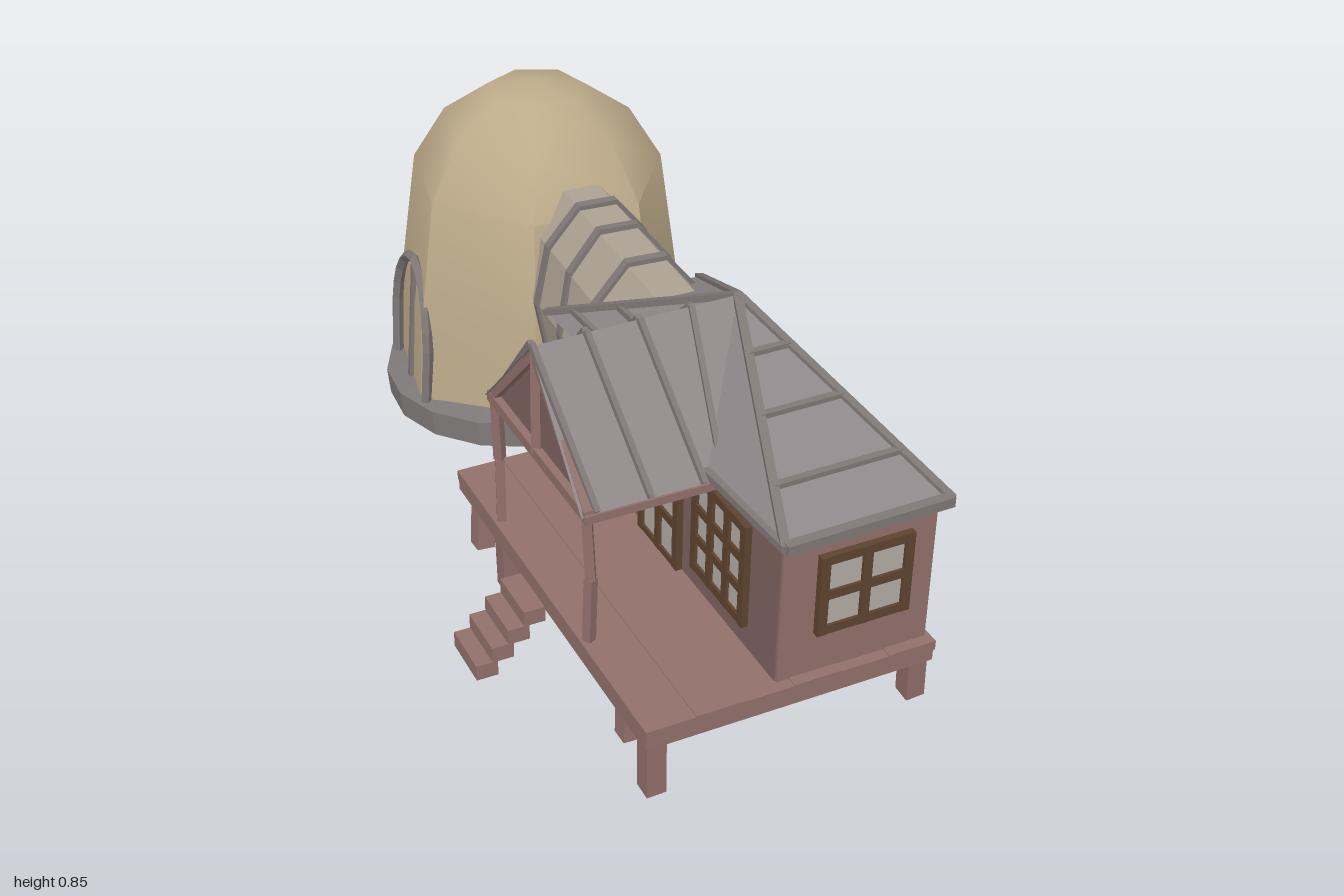
import * as THREE from 'three';
import { toCreasedNormals } from 'three/addons/utils/BufferGeometryUtils.js';

const mat = (color) => new THREE.MeshStandardMaterial({ color, side: THREE.DoubleSide, flatShading: true });
const WOOD = mat(0x92706a), WALL = mat(0x7d625f), ROOF = mat(0x8f888a), TRIM = mat(0x7f7877);
const FRAME = mat(0x5e432f), PANE = mat(0xb2ada4), TUNNEL = mat(0xada292), STONE = mat(0x7f7a7a), FLOOR = mat(0x625950);
const DOME = new THREE.MeshStandardMaterial({ color: 0xbdab8a, side: THREE.DoubleSide });
const V = (x, y, z) => new THREE.Vector3(x, y, z);

function add(parent, name, geometry, material) {
  const m = new THREE.Mesh(geometry, material);
  m.name = name;
  parent.add(m);
  return m;
}

function box(parent, name, material, size, pos, rot = [0, 0, 0]) {
  const m = add(parent, name, new THREE.BoxGeometry(...size), material);
  m.position.set(...pos);
  m.rotation.set(...rot);
  return m;
}

// Bar between two points
function beam(parent, name, material, a, b, w = 0.015, h = w) {
  const m = box(parent, name, material, [w, h, a.distanceTo(b)], a.clone().lerp(b, 0.5).toArray());
  m.quaternion.setFromRotationMatrix(new THREE.Matrix4().lookAt(b, a, V(0, 1, 0)));
}

// Flat panels, each a fan of corner points
function panels(parent, name, material, list) {
  const pts = [];
  for (const c of list) for (let i = 1; i < c.length - 1; i++) pts.push(c[0], c[i], c[i + 1]);
  const g = new THREE.BufferGeometry().setFromPoints(pts);
  g.computeVertexNormals();
  add(parent, name, g, material);
}

// Window in its own XY plane with a grid of panes
function windowUnit(parent, name, w, h, cols, rows, pos, ry) {
  const g = new THREE.Group();
  g.name = name;
  g.position.set(...pos);
  g.rotation.y = ry;
  box(g, 'glass', PANE, [w, h, 0.008], [0, 0, 0]);
  for (let i = 0; i <= cols; i++) box(g, 'upright', FRAME, [0.02, h + 0.02, 0.022], [(i / cols - 0.5) * w, 0, 0]);
  for (let i = 0; i <= rows; i++) box(g, 'crossbar', FRAME, [w + 0.02, 0.02, 0.02], [0, (i / rows - 0.5) * h, 0]);
  parent.add(g);
}

function buildDome(root) {
  const g = new THREE.Group();
  g.name = 'dome';
  g.position.set(0.06, 0, -0.61);
  root.add(g);
  const profile = [[0.372, 0.06], [0.358, 0.3], [0.312, 0.62], [0.23, 0.755], [0.12, 0.83], [0, 0.852]];
  const shell = new THREE.LatheGeometry(profile.map(p => new THREE.Vector2(...p)), 7, 1.466);
  add(g, 'domeShell', toCreasedNormals(shell, 0.8), DOME);

  // Tilted foundation ring with a floor
  const base = new THREE.Group();
  base.name = 'foundation';
  base.position.set(0, 0.076, 0);
  base.rotation.set(-0.075, 0, 0.06);
  g.add(base);
  const ring = [[0.335, -0.035], [0.39, -0.035], [0.392, 0.03], [0.31, 0.045], [0.335, -0.035]];
  add(base, 'foundationRing', new THREE.LatheGeometry(ring.map(p => new THREE.Vector2(...p)), 18), STONE);
  add(base, 'floor', new THREE.CircleGeometry(0.345, 18).rotateX(Math.PI / 2), FLOOR);
  box(g, 'baseSlab', STONE, [0.19, 0.055, 0.06], [0.16, 0.135, 0.325], [0, 0.45, 0.1]);
  box(g, 'baseSlab', STONE, [0.05, 0.06, 0.2], [0.29, 0.13, 0.19], [0, -0.55, 0]);
  box(g, 'baseStone', STONE, [0.055, 0.075, 0.04], [-0.08, 0.155, 0.35], [0, 0, 0.12]);

  // Arched door on the side
  const arch = new THREE.CatmullRomCurve3([V(-0.338, 0.09, -0.14), V(-0.328, 0.28, -0.14), V(-0.32, 0.38, -0.09),
    V(-0.315, 0.42, 0), V(-0.32, 0.38, 0.09), V(-0.328, 0.28, 0.14), V(-0.338, 0.09, 0.14)]);
  add(g, 'doorArch', new THREE.TubeGeometry(arch, 16, 0.014, 4), TRIM);
  beam(g, 'doorPost', TRIM, V(-0.338, 0.09, 0), V(-0.315, 0.42, 0), 0.018);
}

function buildTunnel(root) {
  const g = new THREE.Group();
  g.name = 'tunnel';
  g.position.set(0.103, 0.45, 0.02);
  g.rotation.set(-0.015, 0.037, 0);
  root.add(g);
  const section = (name, material, s, length, z) => {
    const geo = new THREE.CylinderGeometry(1, 1, length, 10, 1, false, Math.PI / 2);
    geo.rotateX(Math.PI / 2);
    geo.scale(0.145 * s, 0.245 * s, 1);
    const m = add(g, name, geo, material);
    m.position.z = z;
    return m;
  };
  section('tunnelBody', TUNNEL, 1, 0.8, 0);
  for (const [z, tilt] of [[0.01, 0.03], [-0.135, -0.06], [-0.285, 0.03]])
    section('tunnelHoop', TRIM, 1.05, 0.022, z).rotation.x = tilt;
}

function buildDeck(h) {
  for (let i = 0; i < 6; i++)
    box(h, 'deckPlank', WOOD, [0.107, 0.022, 0.95], [-0.265 + i * 0.106, 0.235 + (i % 2) * 0.002, 0.005]);
  for (const s of [-1, 1]) {
    box(h, 'deckSideBeam', WOOD, [0.025, 0.03, 0.94], [s * 0.305, 0.215, 0.005]);
    box(h, 'deckEndBeam', WOOD, [0.63, 0.03, 0.025], [0, 0.215, 0.005 + s * 0.46]);
  }
  for (const [x, z, t] of [[-0.29, 0.45, 0.03], [-0.26, 0.29, -0.03], [0.31, 0.42, 0.08], [-0.29, -0.25, 0.04], [-0.28, -0.42, -0.08]])
    box(h, 'deckLeg', WOOD, [0.042, 0.14, 0.042], [x, 0.14, z], [t, 0, t]);
  for (let i = 0; i < 4; i++)
    box(h, 'step', WOOD, [0.048, 0.036, 0.125], [-0.34 - i * 0.036, 0.187 - i * 0.035, -0.055]);
}

function buildWalls(h) {
  box(h, 'frontWall', WOOD, [0.335, 0.34, 0.025], [0.14, 0.41, 0.443]);
  box(h, 'sideWall', WALL, [0.02, 0.33, 0.48], [0.3, 0.41, 0.205]);
  box(h, 'porchWall', WALL, [0.02, 0.33, 0.9], [-0.02, 0.41, 0]);
  box(h, 'backWall', WOOD, [0.33, 0.33, 0.02], [0.14, 0.41, -0.455]);
  windowUnit(h, 'frontWindow', 0.185, 0.165, 2, 2, [0.15, 0.435, 0.46], 0);
  windowUnit(h, 'porchWindow', 0.2, 0.22, 3, 3, [-0.034, 0.42, -0.28], -Math.PI / 2);
  windowUnit(h, 'porchDoor', 0.16, 0.3, 2, 3, [-0.034, 0.4, -0.03], -Math.PI / 2);
  windowUnit(h, 'porchWindow', 0.2, 0.22, 3, 3, [-0.034, 0.42, 0.23], -Math.PI / 2);
}

function buildRoof(h) {
  const peak = V(0.135, 0.805, -0.047), FL = V(-0.04, 0.585, 0.48), FR = V(0.324, 0.585, 0.475);
  const R = V(0.33, 0.56, 0.04), BR = V(0.317, 0.55, -0.55), BL = V(-0.065, 0.55, -0.55), L = V(-0.05, 0.56, -0.047);
  panels(h, 'hippedRoof', ROOF, [[peak, FL, FR], [peak, FR, R], [peak, R, BR], [peak, BR, BL], [peak, BL, L], [peak, L, FL]]);
  for (const c of [FL, FR, BL, BR]) beam(h, 'hipBatten', TRIM, peak, c, 0.018, 0.014);
  beam(h, 'frontEave', TRIM, FL, FR, 0.022);
  beam(h, 'sideEave', TRIM, FR, R, 0.012);
  beam(h, 'sideEave', TRIM, R, BR, 0.012);
  beam(h, 'leftEave', TRIM, FL, L, 0.016);
  for (const t of [0.25, 0.5, 0.77])
    beam(h, 'frontBatten', TRIM, peak.clone().lerp(FL, t), peak.clone().lerp(FR, t), 0.016, 0.014);
  for (const t of [0.6, 0.85])
    beam(h, 'leftBatten', TRIM, peak.clone().lerp(BL, t), peak.clone().lerp(L, t), 0.014);

  // Gabled porch roof with battens, eaves, rafters and posts
  const ridge = V(-0.318, 0.8, -0.045);
  for (const z of [-0.28, 0.2]) {
    panels(h, 'porchRoof', ROOF, [[ridge, V(-0.322, 0.555, z), V(-0.03, 0.555, z), peak]]);
    for (const x of [-0.315, -0.2, -0.085, 0.03])
      beam(h, 'porchBatten', TRIM, V(x, 0.806, -0.045), V(Math.min(x + 0.025, -0.02), 0.56, z), 0.012, 0.016);
    beam(h, 'porchEave', WOOD, V(-0.315, 0.548, z * 0.97), V(-0.03, 0.548, z * 0.97), 0.018);
    beam(h, 'gableRafter', WOOD, V(-0.305, 0.78, -0.045), V(-0.305, 0.55, z * 0.98), 0.02);
    const mid = V(-0.298, 0.4, z * 0.95);
    beam(h, 'porchPost', WOOD, V(-0.3, 0.245, z * 0.93), mid, 0.02);
    beam(h, 'porchPost', WOOD, mid, V(-0.305, 0.555, z * 0.93), 0.02);
  }
  panels(h, 'gableEnd', WALL, [[V(-0.3, 0.785, -0.045), V(-0.3, 0.555, -0.27), V(-0.3, 0.555, 0.19)]]);
  beam(h, 'gableTie', WOOD, V(-0.305, 0.555, -0.28), V(-0.305, 0.555, 0.2), 0.024);
  beam(h, 'gableKingPost', WOOD, V(-0.305, 0.55, -0.045), V(-0.304, 0.78, -0.046), 0.02);
}

export function createModel() {
  const root = new THREE.Group();
  root.name = 'dwelling';
  buildDome(root);
  buildTunnel(root);
  // House and deck stand slightly turned
  const house = new THREE.Group();
  house.name = 'house';
  house.position.set(0.02, 0, 0.49);
  house.rotation.y = 0.1;
  root.add(house);
  buildDeck(house);
  buildWalls(house);
  buildRoof(house);
  return root;
}
